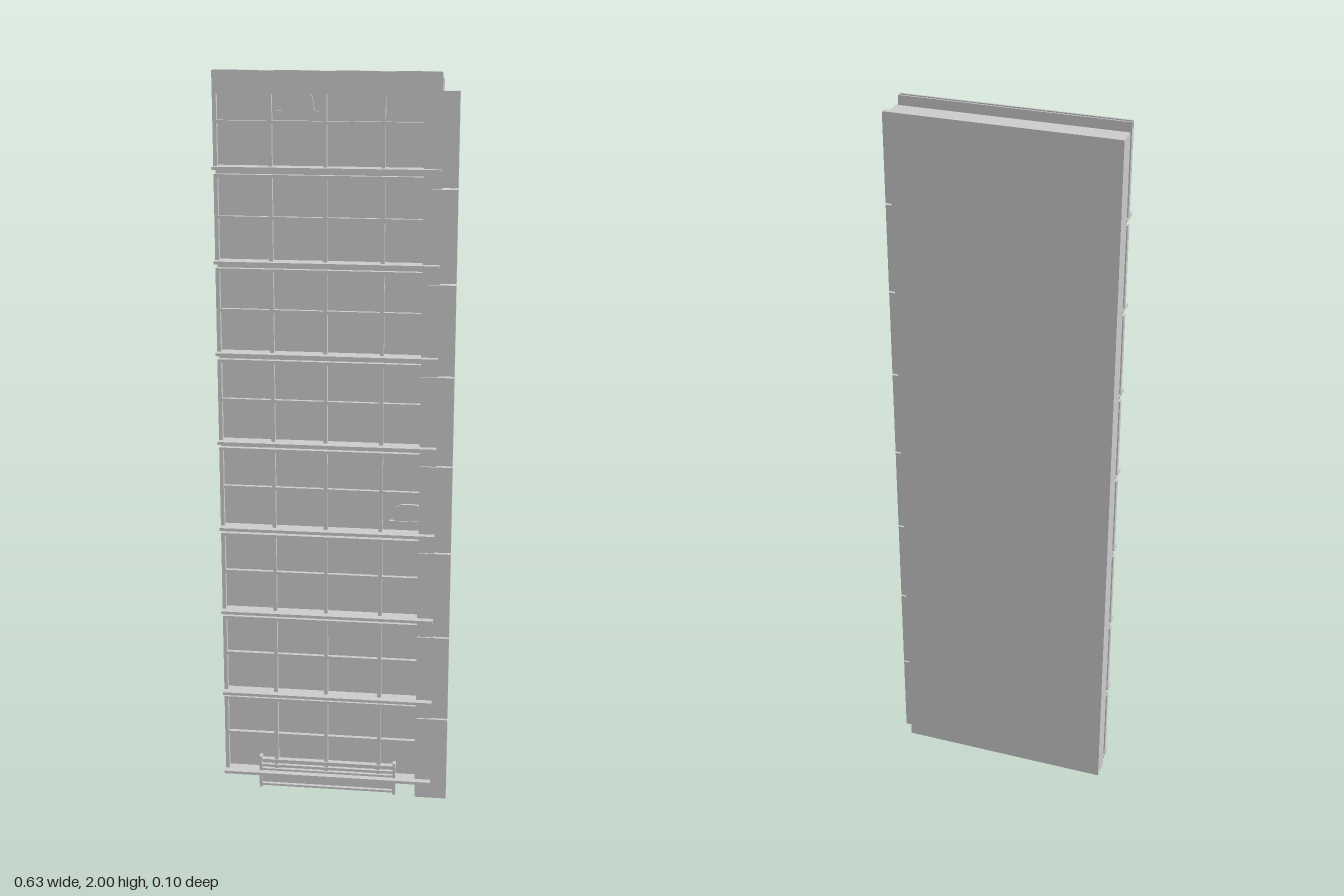
import * as THREE from 'three';

const material = new THREE.MeshStandardMaterial({ color: 0xcccccc, flatShading: true });

// Box given by its min and max on each axis
function box(parent, name, x0, x1, y0, y1, z0, z1) {
  const mesh = new THREE.Mesh(new THREE.BoxGeometry(x1 - x0, y1 - y0, z1 - z0), material);
  mesh.position.set((x0 + x1) / 2, (y0 + y1) / 2, (z0 + z1) / 2);
  mesh.name = name;
  parent.add(mesh);
  return mesh;
}

// Extruded outline lying in the xy plane
function plate(parent, name, points, z0, depth) {
  const shape = new THREE.Shape(points.map(([x, y]) => new THREE.Vector2(x, y)));
  const geometry = new THREE.ExtrudeGeometry(shape, { depth, bevelEnabled: false });
  const mesh = new THREE.Mesh(geometry, material);
  mesh.position.z = z0;
  mesh.name = name;
  parent.add(mesh);
}

function group(parent, name) {
  const g = new THREE.Group();
  g.name = name;
  parent.add(g);
  return g;
}

export function createModel() {
  const model = new THREE.Group();
  model.name = 'slattedPanel';
  const left = -0.314, right = 0.27, innerRight = 0.226;
  const rows = 8, pitch = 0.2435;

  // Thick backing slab
  box(model, 'backSlab', left, right, 0.03, 1.98, -0.053, 0);

  // Open channel along the top
  const top = group(model, 'topChannel');
  box(top, 'topFrontWall', left, right, 1.942, 2, 0.025, 0.03);
  box(top, 'topBackWall', left, right, 1.955, 2, 0.013, 0.017);
  box(top, 'topFloor', left, right, 1.955, 1.96, 0.017, 0.025);

  const grid = group(model, 'grid');
  const fins = group(model, 'fins');
  const sidePlates = group(model, 'sidePlates');

  for (let i = 0; i < rows; i++) {
    const finY = 0.052 + i * pitch;

    // Projecting shelf fin
    box(fins, 'fin', left, right, finY - 0.004, finY + 0.004, 0.004, 0.05);

    // Paired rail below each fin and lighter rail halfway up
    if (i > 0) box(grid, 'mainRail', left, innerRight, finY - 0.025, finY - 0.017, 0.015, 0.03);
    box(grid, 'middleRail', left, innerRight, finY + 0.111, finY + 0.119, 0.016, 0.028);

    // Upright strips between one fin and the next
    for (const x of [-0.309, -0.167, -0.026, 0.123]) {
      box(grid, 'upright', x - 0.005, x + 0.005, finY + 0.004, finY + pitch - 0.017, 0.014, 0.029);
    }

    // Side plate with a deeper outer edge
    const y0 = 0.002 + i * 0.2445, y1 = y0 + 0.24;
    box(sidePlates, 'sideFace', 0.226, 0.272, i ? y0 : 0, y1, 0.026, 0.031);
    box(sidePlates, 'sideEdge', 0.27, 0.314, i ? y0 : 0, y1, 0.014, 0.031);
  }

  // Trapezoid clips fixed to the slab, each with a small foot ledge
  for (const [x, y] of [[-0.097, 1.897], [0.198, 0.812]]) {
    const clip = group(model, 'clip');
    plate(clip, 'clipBody', [
      [x - 0.042, y], [x + 0.042, y], [x + 0.036, y + 0.04],
      [x + 0.02, y + 0.048], [x - 0.02, y + 0.048], [x - 0.036, y + 0.04],
    ], 0, 0.009);
    box(clip, 'clipFoot', x - 0.053, x + 0.053, y - 0.004, y + 0.002, 0, 0.012);
  }

  // Vent strip at the bottom: backing, slats and end caps
  const vent = group(model, 'bottomVent');
  box(vent, 'ventBack', -0.21, 0.165, 0.01, 0.09, 0.018, 0.024);
  for (const y of [0.013, 0.06, 0.073, 0.089]) {
    box(vent, 'ventSlat', -0.21, 0.165, y - 0.003, y + 0.003, 0.018, 0.034);
  }
  for (const x of [-0.212, 0.167]) {
    box(vent, 'ventEnd', x - 0.004, x + 0.004, 0.005, 0.1, 0.016, 0.035);
  }

  return model;
}
